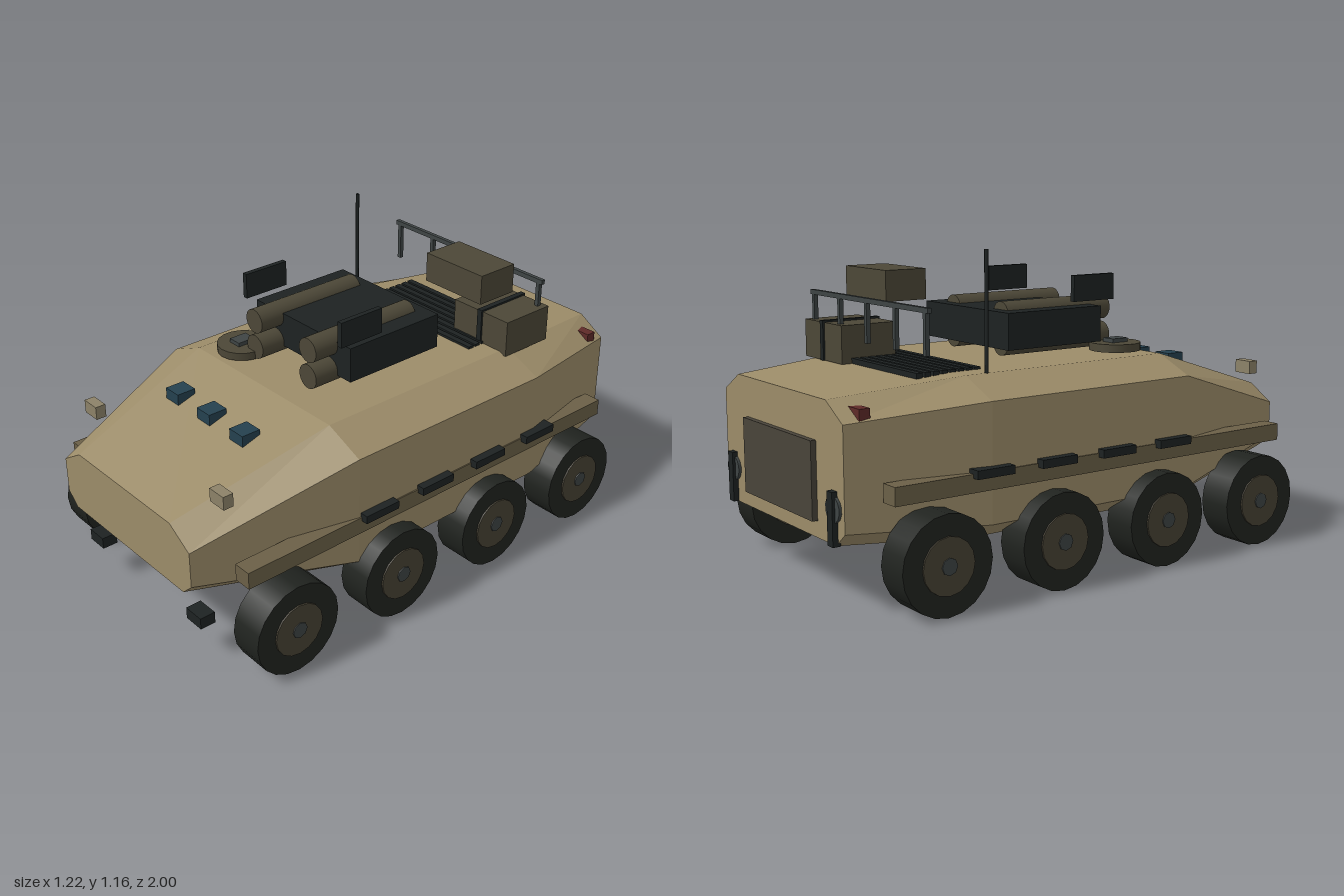
import * as THREE from 'three';

const mat = (color) => new THREE.MeshStandardMaterial({ color });
const M = {
  tan: mat(0x9c8c69), darkTan: mat(0x6b6047), olive: mat(0x4c4737), black: mat(0x1d2222),
  tyre: mat(0x20231f), steel: mat(0x3e4444), glass: mat(0x25414f), lamp: mat(0x8c8268),
  red: mat(0x5e2a28), hub: mat(0x474234), door: mat(0x49443a),
};

export function createModel() {
  const root = new THREE.Group();

  const add = (name, geo, m, x, y, z) => {
    const mesh = new THREE.Mesh(geo, m);
    mesh.name = name;
    mesh.position.set(x, y, z);
    root.add(mesh);
    return mesh;
  };
  // Box given by its limits on each axis
  const box = (name, m, [x0, x1], [y0, y1], [z0, z1]) =>
    add(name, new THREE.BoxGeometry(x1 - x0, y1 - y0, z1 - z0), m,
      (x0 + x1) / 2, (y0 + y1) / 2, (z0 + z1) / 2);
  // The same box on both sides
  const pair = (name, m, [x0, x1], y, z) => {
    box(name + 'Left', m, [x0, x1], y, z);
    box(name + 'Right', m, [-x1, -x0], y, z);
  };
  const cylX = (name, m, r, x0, x1, y, z, n) => {
    const c = add(name, new THREE.CylinderGeometry(r, r, Math.abs(x1 - x0), n), m, (x0 + x1) / 2, y, z);
    c.rotation.z = Math.PI / 2;
  };
  const cylZ = (name, m, r, x, y, z0, z1, n) => {
    const c = add(name, new THREE.CylinderGeometry(r, r, z1 - z0, n), m, x, y, (z0 + z1) / 2);
    c.rotation.x = Math.PI / 2;
  };

  // Faceted hull from eight-cornered sections, front to back
  add('hull', hullGeometry(), M.tan, 0, 0, 0);

  // Eight wheels
  for (const s of [1, -1]) {
    for (const z of [0.725, 0.25, -0.225, -0.7]) {
      cylX('tyre', M.tyre, 0.174, s * 0.47, s * 0.6, 0.176, z, 20);
      cylX('wheelHub', M.hub, 0.1, s * 0.463, s * 0.606, 0.176, z, 16);
      cylX('hubCap', M.steel, 0.03, s * 0.46, s * 0.61, 0.176, z, 8);
    }
  }

  // Side sponsons with steps
  pair('sideRail', M.darkTan, [0.47, 0.54], [0.383, 0.447], [-0.86, 0.88]);
  for (const z of [0.317, 0.05, -0.217, -0.485])
    pair('sideStep', M.black, [0.51, 0.567], [0.433, 0.463], [z - 0.075, z + 0.075]);

  // Front fittings
  pair('towHook', M.black, [0.267, 0.35], [0.14, 0.184], [0.89, 0.95]);
  pair('headlight', M.lamp, [0.345, 0.42], [0.63, 0.68], [0.84, 0.88]);
  for (const x of [-0.213, -0.022, 0.169])
    box('visionBlock', M.glass, [x - 0.037, x + 0.037], [0.67, 0.715], [0.565, 0.64]);

  // Crew hatch with periscope
  add('hatch', new THREE.CylinderGeometry(0.097, 0.097, 0.03, 18), M.olive, -0.25, 0.77, 0.29);
  box('periscope', M.steel, [-0.279, -0.224], [0.775, 0.8], [0.255, 0.327]);

  // Launcher turret with four tubes and two sight plates
  box('turretBody', M.black, [-0.266, 0.266], [0.794, 0.927], [-0.218, 0.206]);
  for (const x of [-0.153, 0.151])
    for (const y of [0.91, 0.806]) cylZ('launchTube', M.olive, 0.047, x, y, -0.17, 0.305, 18);
  pair('sightPlate', M.black, [0.257, 0.277], [0.95, 1.046], [0.07, 0.257]);

  // Engine grille
  for (let i = 0; i < 8; i++) {
    const z = -0.608 + i * 0.0338;
    box('grilleSlat', M.black, [-0.295, 0.295], [0.735, 0.755], [z - 0.012, z + 0.012]);
  }

  // Stowage boxes and strap
  box('stowageBox', M.olive, [0.14, 0.412], [0.735, 0.875], [-0.66, -0.435]);
  box('stowageStrap', M.black, [0.265, 0.287], [0.735, 0.882], [-0.667, -0.428]);
  box('upperBox', M.olive, [0.07, 0.355], [0.957, 1.07], [-0.515, -0.345]);

  // Rear rail on posts, and the aerial
  box('rearRail', M.steel, [-0.4, 0.4], [0.967, 0.985], [-0.642, -0.626]);
  for (const x of [-0.38, -0.19, 0, 0.19, 0.38])
    box('railPost', M.steel, [x - 0.008, x + 0.008], [0.825, 0.97], [-0.642, -0.626]);
  add('aerial', new THREE.CylinderGeometry(0.007, 0.007, 0.43, 8), M.black, -0.376, 0.95, -0.39);

  // Rear face
  box('rearDoor', M.door, [-0.25, 0.25], [0.295, 0.565], [-1, -0.975]);
  pair('tailLight', M.red, [0.368, 0.437], [0.65, 0.688], [-0.924, -0.884]);
  pair('rearBracket', M.black, [0.35, 0.385], [0.238, 0.42], [-1, -0.97]);
  for (const s of [1, -1]) cylZ('rearDisc', M.steel, 0.046, s * 0.367, 0.36, -0.99, -0.97, 14);

  return root;
}

function hullGeometry() {
  // z, then [half width, height] from bottom corner to roof corner
  const stations = [
    [1, [0.335, 0.315], [0.385, 0.362], [0.385, 0.497], [0.28, 0.562]],
    [0.4, [0.455, 0.205], [0.535, 0.262], [0.535, 0.68], [0.38, 0.746]],
    [-0.48, [0.455, 0.205], [0.535, 0.262], [0.535, 0.68], [0.38, 0.746]],
    [-0.98, [0.37, 0.237], [0.43, 0.287], [0.43, 0.643], [0.32, 0.708]],
  ];
  const pos = [], idx = [], n = 8;
  for (const [z, ...half] of stations) {
    for (const [x, y] of half) pos.push(x, y, z);
    for (const [x, y] of half.reverse()) pos.push(-x, y, z);
  }
  for (let i = 0; i < stations.length - 1; i++) {
    for (let j = 0; j < n; j++) {
      const k = (j + 1) % n;
      const a = i * n + j, b = i * n + k, c = b + n, d = a + n;
      idx.push(a, d, c, a, c, b);
    }
  }
  // End caps
  const last = (stations.length - 1) * n;
  for (let j = 1; j < n - 1; j++) {
    idx.push(0, j, j + 1, last, last + j + 1, last + j);
  }
  const g = new THREE.BufferGeometry();
  g.setAttribute('position', new THREE.Float32BufferAttribute(pos, 3));
  g.setIndex(idx);
  const flat = g.toNonIndexed();
  flat.computeVertexNormals();
  return flat;
}
